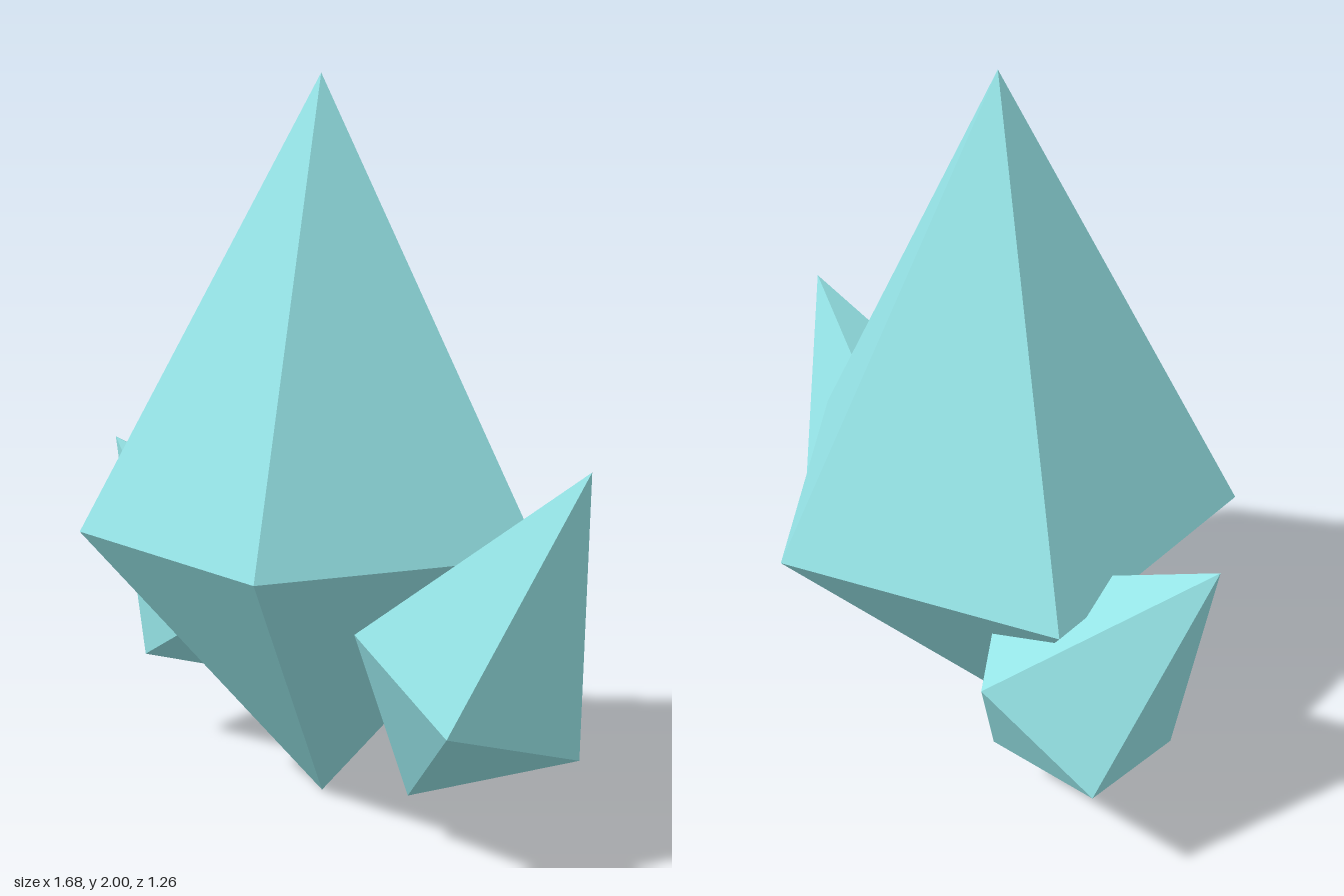
import * as THREE from 'three';
import { mergeGeometries } from 'three/addons/utils/BufferGeometryUtils.js';

const SIDES = 5;
const WAIST = 0.382; // waist position along the length, from the lower tip

// Five-sided double pyramid between two tips; one waist corner points along `corner`
function crystal(name, material, bottom, apex, corner, radius) {
  const base = new THREE.Vector3(...bottom);
  const axis = new THREE.Vector3(...apex).sub(base);
  const length = axis.length();
  const low = length * WAIST;
  const high = length - low;

  const upper = new THREE.ConeGeometry(radius, high, SIDES, 1, true);
  upper.rotateY(Math.PI / 2).translate(0, high / 2, 0);
  const lower = new THREE.ConeGeometry(radius, low, SIDES, 1, true);
  lower.rotateY(Math.PI / 2).rotateX(Math.PI).translate(0, -low / 2, 0);
  const geometry = mergeGeometries([upper, lower]);

  // Lean the crystal along its axis
  const y = axis.clone().normalize();
  const z = new THREE.Vector3(...corner).cross(y).normalize();
  const x = new THREE.Vector3().crossVectors(y, z);
  const mesh = new THREE.Mesh(geometry, material);
  mesh.name = name;
  mesh.quaternion.setFromRotationMatrix(new THREE.Matrix4().makeBasis(x, y, z));
  mesh.position.copy(base).addScaledVector(axis, WAIST);
  return mesh;
}

export function createModel() {
  const group = new THREE.Group();
  group.name = 'crystalCluster';
  const ice = new THREE.MeshStandardMaterial({ color: 0x95e3e6 });
  ice.name = 'pale aqua';
  ice.flatShading = true;

  group.add(
    // Tall upright centre crystal
    crystal('mainCrystal', ice, [-0.04, 0.005, 0], [-0.04, 2, 0], [1, 0, 0], 0.665),
    // Small crystals leaning outwards
    crystal('leftCrystal', ice, [0.345, 0.13, 0.19], [0.84, 1.04, 0.19], [0.88, -0.48, 0], 0.332),
    crystal('rightCrystal', ice, [-0.31, 0.195, -0.325], [-0.845, 0.94, -0.1], [0.274, 0.175, 0.029], 0.335),
  );
  return group;
}
